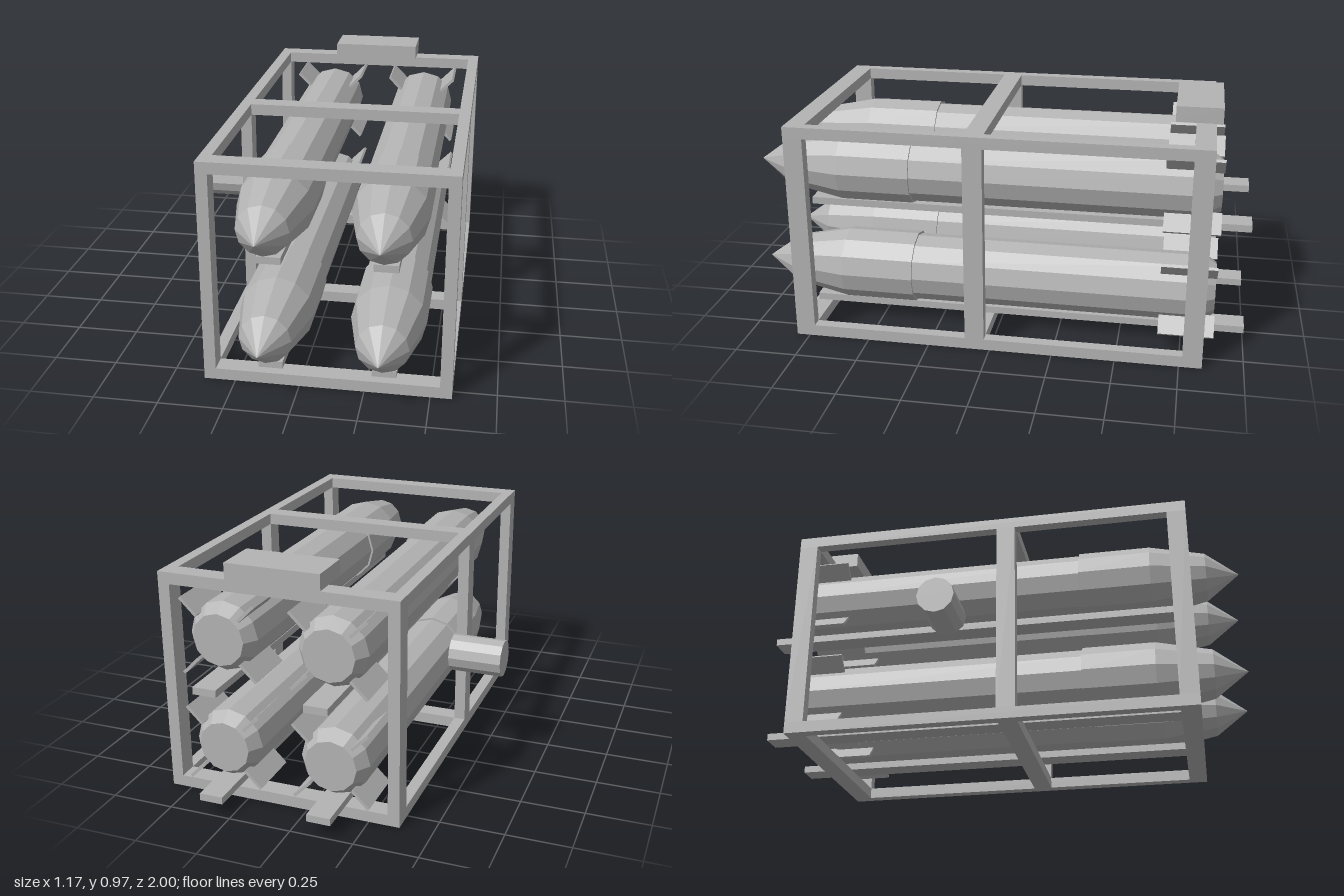
import * as THREE from 'three';

export function createModel() {
  const model = new THREE.Group();
  model.name = 'rocketRack';
  const grey = new THREE.MeshStandardMaterial({ color: 0xb4b4b4, flatShading: true });
  grey.name = 'plain grey';

  const add = (parent, name, geometry) => {
    const mesh = new THREE.Mesh(geometry, grey);
    mesh.name = name;
    parent.add(mesh);
    return mesh;
  };
  // Box given by its limits on each axis
  const box = (parent, name, x0, x1, y0, y1, z0, z1) => {
    const mesh = add(parent, name, new THREE.BoxGeometry(x1 - x0, y1 - y0, z1 - z0));
    mesh.position.set((x0 + x1) / 2, (y0 + y1) / 2, (z0 + z1) / 2);
    return mesh;
  };

  // Open frame: three rectangular hoops joined by four long rails
  const L = -0.372, R = 0.582, H = 0.893, T = 0.046, D = 0.077;
  const hoops = [-0.84, 0.022, 0.726];
  const frame = new THREE.Group();
  frame.name = 'frame';
  model.add(frame);
  for (const z of hoops) {
    for (const x of [L, R - T]) box(frame, 'framePost', x, x + T, T, H - T, z, z + D);
    for (const y of [0, H - T]) box(frame, 'crossBar', L + T, R - T, y, y + T, z, z + D);
  }
  for (const x of [L, R - T]) {
    for (const y of [0, H - T]) box(frame, 'longRail', x, x + T, y, y + T, -0.84, 0.803);
  }

  // Rocket body turned about its long axis, from tail to nose
  const profile = [
    [0, -0.877], [0.103, -0.877], [0.138, -0.825], [0.138, 0.345],
    [0.147, 0.345], [0.147, 0.64], [0.1, 0.865], [0, 1],
  ].map(([r, z]) => new THREE.Vector2(r, z));
  const bodyGeometry = new THREE.LatheGeometry(profile, 12).rotateX(Math.PI / 2);
  const finGeometry = new THREE.BoxGeometry(0.092, 0.012, 0.22).translate(0.166, 0, -0.77);

  for (const x of [-0.115, 0.323]) {
    for (const y of [0.227, 0.667]) {
      const rocket = new THREE.Group();
      rocket.name = 'rocket';
      rocket.position.set(x, y, 0);
      model.add(rocket);
      add(rocket, 'rocketBody', bodyGeometry);
      // Four diagonal tail fins
      for (let i = 0; i < 4; i++) {
        add(rocket, 'tailFin', finGeometry).rotation.z = Math.PI / 4 + i * Math.PI / 2;
      }
      // Launch rail beneath the rocket
      box(rocket, 'launchRail', -0.047, 0.047, -0.171, -0.142, -1, 0.78);
    }
  }

  // Control box above the rear and round mount on the side
  box(model, 'controlBox', -0.085, 0.29, 0.903, 0.966, -0.865, -0.683);
  const mount = add(model, 'sideMount', new THREE.CylinderGeometry(0.075, 0.075, 0.214, 12).rotateZ(Math.PI / 2));
  mount.position.set(-0.478, 0.448, -0.177);

  return model;
}
